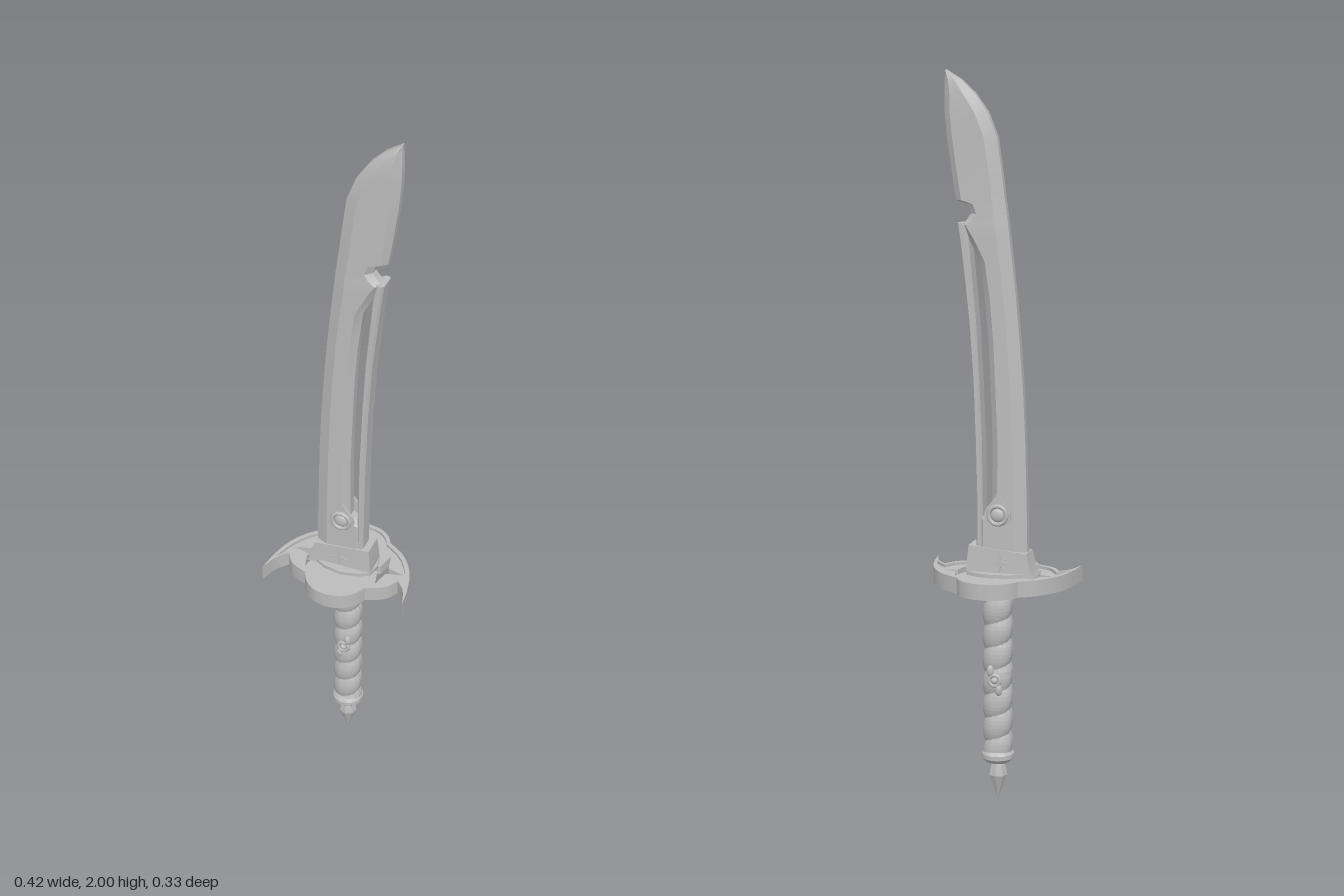
import * as THREE from 'three';
import { toCreasedNormals } from 'three/addons/utils/BufferGeometryUtils.js';

const steel = new THREE.MeshStandardMaterial({ color: 0xbcbcbc });
steel.name = 'steel grey';

function add(parent, name, geometry) {
  const mesh = new THREE.Mesh(geometry, steel);
  mesh.name = name;
  parent.add(mesh);
  return mesh;
}

// Skins a list of closed rings; each ring runs counter-clockwise seen from above
function loft(rings) {
  const n = rings[0].length, index = [];
  for (let k = 0; k < rings.length - 1; k++) {
    for (let i = 0; i < n; i++) {
      const j = (i + 1) % n, a = k * n + i, b = k * n + j;
      index.push(a, b, b + n, a, b + n, a + n);
    }
  }
  const top = (rings.length - 1) * n;
  for (let i = 1; i < n - 1; i++) index.push(0, i + 1, i, top, top + i, top + i + 1);
  const g = new THREE.BufferGeometry();
  g.setAttribute('position', new THREE.Float32BufferAttribute(rings.flat(2), 3));
  g.setIndex(index);
  return toCreasedNormals(g, 0.4);
}

// Bevelled slab section between x = l and x = r at height y
function slab(y, l, r, t, bevelL, bevelR, edge = 0.4) {
  const w = r - l, p = l + Math.min(bevelL, w * 0.35), q = r - Math.min(bevelR, w * 0.3), e = t * edge;
  return [[l, y, e], [p, y, t], [q, y, t], [r, y, e], [r, y, -e], [q, y, -t], [p, y, -t], [l, y, -e]];
}

// Smooth arcs joined at sharp corners, mirrored across x = 0
function mirroredOutline(arcs) {
  const half = [];
  for (const arc of arcs) {
    const curve = new THREE.SplineCurve(arc.map(([x, z]) => new THREE.Vector2(x, z)));
    half.push(...curve.getPoints(10).slice(0, -1));
  }
  const last = arcs.at(-1).at(-1);
  half.push(new THREE.Vector2(...last));
  const other = half.slice(1, -1).reverse().map(p => new THREE.Vector2(-p.x, p.y));
  return half.concat(other);
}

function starPoints(cx, cy, rx, ry, inner) {
  return Array.from({ length: 8 }, (_, i) => {
    const a = i * Math.PI / 4, odd = i % 2;
    return new THREE.Vector2(cx + Math.cos(a) * (odd ? inner : rx), cy + Math.sin(a) * (odd ? inner : ry));
  });
}

// Horizontal plate whose shape lies in x and z
function plate(shape, bottom, top) {
  const g = new THREE.ExtrudeGeometry(shape, { depth: top - bottom, bevelEnabled: false });
  g.rotateX(Math.PI / 2).translate(0, top, 0);
  return toCreasedNormals(g, 0.5);
}

function buildBlade(group) {
  // y, back-edge x, slot-side x, half thickness
  const main = [
    [0.69, -0.086, 0.053, 0.029], [0.8, -0.085, 0.052, 0.029], [0.825, -0.084, 0.012, 0.029],
    [1.02, -0.079, 0.012, 0.028], [1.15, -0.073, 0.017, 0.028], [1.285, -0.063, 0.023, 0.028],
    [1.4, -0.053, 0.033, 0.028], [1.5, -0.042, 0.047, 0.028], [1.56, -0.035, 0.078, 0.028],
    [1.595, -0.031, 0.1, 0.028], [1.605, -0.03, 0.085, 0.027], [1.625, -0.027, 0.071, 0.027],
    [1.65, -0.024, 0.08, 0.026], [1.66, -0.022, 0.112, 0.026], [1.72, -0.015, 0.122, 0.025],
    [1.825, 0, 0.137, 0.025], [1.89, 0.026, 0.143, 0.025], [1.94, 0.062, 0.144, 0.024],
    [1.975, 0.1, 0.144, 0.02], [1.99, 0.124, 0.143, 0.015], [2, 0.139, 0.143, 0.008],
  ];
  add(group, 'blade', loft(main.map(([y, l, r, t]) => slab(y, l, r, t, 0.032, 0.018))));
  // Slim bar beyond the long slot
  const bar = [
    [0.7, 0.036, 0.054], [0.86, 0.037, 0.055], [1.02, 0.039, 0.059], [1.18, 0.046, 0.065],
    [1.34, 0.055, 0.076], [1.48, 0.068, 0.091], [1.56, 0.076, 0.101], [1.6, 0.086, 0.107],
  ];
  add(group, 'outerBar', loft(bar.map(([y, l, r]) => slab(y, l, r, 0.028, 0.005, 0.005, 0.75))));

  // Teardrop mount with a ring and round stud on each face
  const drop = new THREE.Shape();
  drop.moveTo(0, 0.062);
  drop.quadraticCurveTo(-0.012, 0.04, -0.03, 0.022);
  drop.absarc(0, 0, 0.037, Math.PI * 0.8, Math.PI * 2.2, false);
  drop.quadraticCurveTo(0.012, 0.04, 0, 0.062);
  for (const side of [1, -1]) {
    const mount = new THREE.Group();
    mount.name = side > 0 ? 'frontStud' : 'backStud';
    mount.position.set(-0.008, 0.815, side * 0.026);
    if (side < 0) mount.rotation.y = Math.PI;
    add(mount, 'teardrop', new THREE.ExtrudeGeometry(drop, { depth: 0.007, bevelEnabled: false, curveSegments: 20 }));
    add(mount, 'ring', new THREE.TorusGeometry(0.025, 0.006, 8, 28)).position.z = 0.008;
    add(mount, 'dome', new THREE.SphereGeometry(0.019, 20, 12)).scale.z = 0.45;
    mount.children[2].position.z = 0.007;
    group.add(mount);
  }
}

function buildCollar(group) {
  // Tapered sleeve with a slanting top
  const ring = (l, r, yl, yr, t) => [[l, yl, t], [r, yr, t], [r, yr, -t], [l, yl, -t]];
  add(group, 'collar', loft([
    ring(-0.11, 0.08, 0.645, 0.645, 0.037), ring(-0.1, 0.08, 0.665, 0.665, 0.036),
    ring(-0.088, 0.074, 0.712, 0.728, 0.033),
  ]));
  for (const side of [1, -1]) {
    const g = new THREE.ExtrudeGeometry(new THREE.Shape(starPoints(0, 0, 0.026, 0.026, 0.008)),
      { depth: 0.006, bevelEnabled: false });
    const star = add(group, 'collarStar', g);
    star.position.set(-0.014, 0.683, side * 0.032);
    if (side < 0) star.rotation.y = Math.PI;
  }
}

function buildGuard(group) {
  const outer = mirroredOutline([
    [[0, -0.163], [0.04, -0.155], [0.07, -0.133], [0.085, -0.108]],
    [[0.085, -0.108], [0.14, -0.07], [0.18, -0.01], [0.2, 0.06], [0.208, 0.123]],
    [[0.208, 0.123], [0.19, 0.07], [0.163, 0.037]],
    [[0.163, 0.037], [0.145, 0.068], [0.12, 0.085], [0.09, 0.097]],
    [[0.09, 0.097], [0.072, 0.13], [0.04, 0.155], [0, 0.163]],
  ]);
  const inner = mirroredOutline([
    [[0, -0.151], [0.036, -0.144], [0.063, -0.124], [0.077, -0.099]],
    [[0.077, -0.099], [0.13, -0.062], [0.168, -0.006], [0.187, 0.048], [0.193, 0.066]],
    [[0.193, 0.066], [0.178, 0.043], [0.158, 0.024]],
    [[0.158, 0.024], [0.137, 0.057], [0.115, 0.074], [0.081, 0.088]],
    [[0.081, 0.088], [0.064, 0.12], [0.036, 0.144], [0, 0.151]],
  ]);
  const rim = new THREE.Shape(outer);
  rim.holes.push(new THREE.Path(inner));
  add(group, 'guardRim', plate(rim, 0.61, 0.654));
  // Recessed web pierced by a star at each end
  const web = new THREE.Shape(inner);
  for (const s of [1, -1]) web.holes.push(new THREE.Path(starPoints(s * 0.105, 0, 0.06, 0.062, 0.017)));
  add(group, 'guardWeb', plate(web, 0.617, 0.646));
  // Faceted seats above and below
  const seat = new THREE.Shape([[0, 0.062], [0.05, 0.053], [0.08, 0.036], [0.088, 0], [0.08, -0.036], [0.05, -0.053],
    [0, -0.062], [-0.05, -0.053], [-0.08, -0.036], [-0.088, 0], [-0.08, 0.036], [-0.05, 0.053]]
    .map(p => new THREE.Vector2(...p)));
  add(group, 'upperSeat', plate(seat, 0.64, 0.656));
  add(group, 'lowerSeat', plate(seat, 0.606, 0.62));
}

function buildGrip(group) {
  // Spiral cord wrapping, pressed out of an oval cylinder
  const g = new THREE.CylinderGeometry(1, 1, 0.46, 32, 126, true);
  const p = g.attributes.position;
  for (let i = 0; i < p.count; i++) {
    const x = p.getX(i), z = p.getZ(i), y = p.getY(i);
    const phase = Math.PI * (y / 0.066 + Math.atan2(z, x) / (2 * Math.PI));
    const r = 0.034 + 0.008 * Math.pow(Math.abs(Math.sin(phase)), 0.6);
    p.setXYZ(i, x * r, y, z * r * 0.92);
  }
  add(group, 'gripWrap', toCreasedNormals(g, 0.6)).position.y = 0.365;

  const lathe = (name, pts, sides, crease = 0.5) => add(group, name, toCreasedNormals(
    new THREE.LatheGeometry(pts.map(([r, y]) => new THREE.Vector2(r, y)), sides), crease));
  lathe('gripFerrule', [[0, 0.585], [0.04, 0.585], [0.045, 0.593], [0.045, 0.612], [0, 0.612]], 32);
  lathe('pommelCap', [[0, 0.112], [0.034, 0.112], [0.045, 0.124], [0.045, 0.136], [0.038, 0.146], [0, 0.146]], 32);
  lathe('pommelSpike', [[0, 0], [0.013, 0.035], [0.027, 0.073], [0.025, 0.086], [0.017, 0.114], [0, 0.114]], 8, 0.3);

  // Small rosettes on the two faces of the grip
  for (const side of [1, -1]) {
    const boss = new THREE.Group();
    boss.name = 'gripRosette';
    boss.position.set(0, 0.352, side * 0.036);
    add(boss, 'rosetteRing', new THREE.TorusGeometry(0.015, 0.006, 8, 20));
    add(boss, 'rosetteBead', new THREE.SphereGeometry(0.01, 16, 10));
    for (const s of [1, -1]) {
      const leaf = add(boss, 'rosetteLeaf', new THREE.SphereGeometry(0.014, 14, 10));
      leaf.position.set(s * 0.012, s * 0.026, 0);
      leaf.scale.set(0.7, 1.2, 0.6);
    }
    group.add(boss);
  }
}

export function createModel() {
  const sword = new THREE.Group();
  sword.name = 'sword';
  const parts = { bladeAssembly: buildBlade, collarAssembly: buildCollar, guard: buildGuard, grip: buildGrip };
  for (const [name, build] of Object.entries(parts)) {
    const group = new THREE.Group();
    group.name = name;
    build(group);
    sword.add(group);
  }
  return sword;
}
